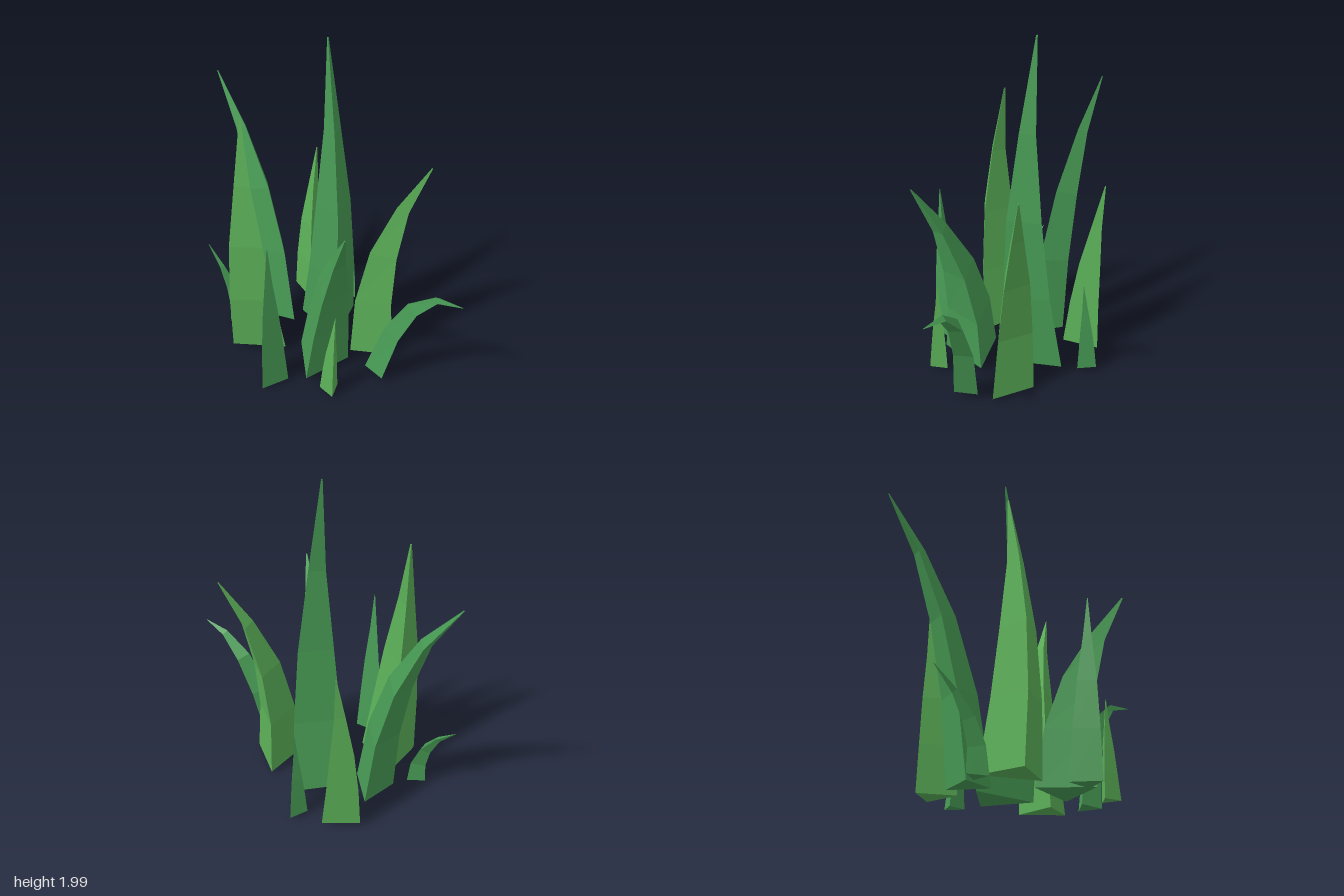
import * as THREE from 'three';

const leafGreen = new THREE.MeshStandardMaterial({ color: 0x489c55, flatShading: true });
leafGreen.name = 'leafGreen';
const limeGreen = new THREE.MeshStandardMaterial({ color: 0x5bb058, flatShading: true });
limeGreen.name = 'limeGreen';

// Relative width of every blade at its root, three joints and tip
const TAPER = [1, 0.82, 0.6, 0.28, 0.025];
const UP = new THREE.Vector3(0, 1, 0);

// Sweeps a shrinking triangle along a bent path through root, middle and tip
function bladeGeometry(radius, turn, root, middle, tip) {
  const control = middle.clone().multiplyScalar(2).addScaledVector(root, -0.5).addScaledVector(tip, -0.5);
  const spine = new THREE.QuadraticBezierCurve3(root, control, tip);
  const last = TAPER.length - 1;

  const rings = TAPER.map((width, i) => {
    const tangent = spine.getTangent(i / last);
    if (i === 0) tangent.lerp(UP, 0.6).normalize();
    const tilt = new THREE.Quaternion().setFromUnitVectors(UP, tangent);
    return [0, 1, 2].map((j) => {
      const angle = THREE.MathUtils.degToRad(turn - 120 * j);
      return new THREE.Vector3(Math.cos(angle), 0, Math.sin(angle))
        .multiplyScalar(radius * width)
        .applyQuaternion(tilt)
        .add(spine.getPoint(i / last));
    });
  });

  // Three sides per segment, then the root and tip caps
  const points = [];
  for (let i = 0; i < last; i++) {
    for (let j = 0; j < 3; j++) {
      const k = (j + 1) % 3;
      const [a, b, c, d] = [rings[i][j], rings[i][k], rings[i + 1][k], rings[i + 1][j]];
      points.push(a, b, c, a, c, d);
    }
  }
  points.push(...rings[0].slice().reverse(), ...rings[last]);

  const geometry = new THREE.BufferGeometry().setFromPoints(points);
  geometry.computeVertexNormals();
  return geometry;
}

export function createModel() {
  const tuft = new THREE.Group();
  tuft.name = 'grassTuft';

  // radius and turn of the triangle, then root, middle and tip points
  const addBlade = (name, material, radius, turn, ...path) => {
    const points = path.map((p) => new THREE.Vector3(...p));
    const mesh = new THREE.Mesh(bladeGeometry(radius, turn, ...points), material);
    mesh.name = name;
    tuft.add(mesh);
  };

  // Large blades
  addBlade('tallBlade', leafGreen, 0.195, 34, [-0.083, 0.04, -0.18], [-0.01, 0.98, -0.14], [-0.08, 2, -0.14]);
  addBlade('rightLeaningBlade', leafGreen, 0.134, 3, [-0.357, 0.04, 0], [-0.535, 0.92, -0.01], [-0.9, 1.57, 0]);
  addBlade('broadFrontBlade', limeGreen, 0.19, 108, [-0.243, 0.06, 0.257], [-0.252, 0.82, 0.318], [-0.31, 1.58, 0.28]);
  addBlade('leftBackBlade', limeGreen, 0.153, 112, [0.26, 0.025, -0.233], [0.267, 0.74, -0.28], [0.43, 1.32, -0.45]);
  addBlade('leftFrontBlade', leafGreen, 0.182, 65, [0.15, 0.05, 0.127], [0.25, 0.66, 0.13], [0.49, 1.21, 0.25]);

  // Medium blades
  addBlade('rightBackBlade', limeGreen, 0.128, 42, [-0.397, 0.04, -0.297], [-0.42, 0.57, -0.315], [-0.435, 1.1, -0.375]);
  addBlade('slimFrontBlade', leafGreen, 0.098, 74, [0.063, 0.02, 0.423], [0.075, 0.54, 0.437], [0.09, 1.02, 0.44]);
  addBlade('leftHookedBlade', leafGreen, 0.08, 28, [0.447, 0.045, -0.09], [0.615, 0.59, -0.185], [0.9, 0.75, -0.24]);

  // Small blades
  addBlade('smallRightBlade', leafGreen, 0.064, 48, [-0.467, 0.012, 0.28], [-0.52, 0.28, 0.28], [-0.72, 0.52, 0.29]);
  addBlade('smallLeftBlade', limeGreen, 0.062, 29, [0.357, 0.015, 0.22], [0.362, 0.3, 0.21], [0.375, 0.58, 0.2]);
  addBlade('smallBackBlade', leafGreen, 0.066, 13, [-0.193, 0.035, -0.463], [-0.185, 0.29, -0.455], [-0.17, 0.58, -0.44]);

  return tuft;
}
